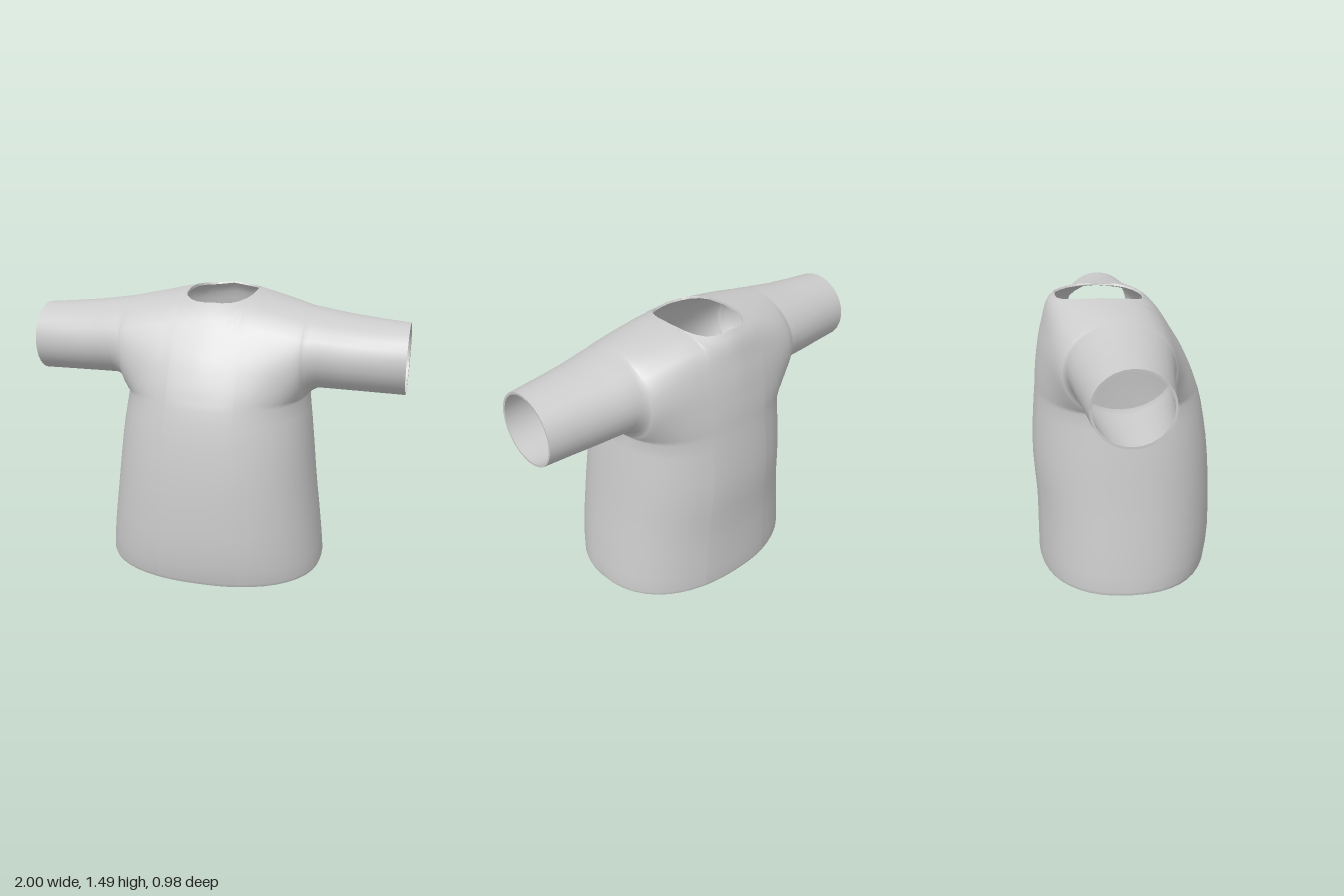
import * as THREE from 'three';
import { mergeVertices, mergeGeometries } from 'three/addons/utils/BufferGeometryUtils.js';

const THICKNESS = 0.012;
const lerp = THREE.MathUtils.lerp;

// Torso rings: y, half width, front z, back z, z of the side seam
const TORSO = [
  [0, 0.597, 0.457, -0.464, 0], [0.02, 0.602, 0.466, -0.47, 0], [0.1, 0.595, 0.48, -0.47, 0],
  [0.2, 0.584, 0.488, -0.47, 0], [0.3, 0.572, 0.488, -0.47, 0], [0.4, 0.559, 0.486, -0.473, 0],
  [0.5, 0.547, 0.482, -0.481, 0], [0.6, 0.536, 0.475, -0.487, -0.005], [0.7, 0.525, 0.465, -0.487, -0.01],
  [0.8, 0.513, 0.45, -0.481, -0.02], [0.89, 0.5, 0.434, -0.474, -0.035], [0.965, 0.49, 0.415, -0.467, -0.05],
];
// Sleeve loops: x, centre z, radius z, centre y, radius y
const SLEEVE = [
  [0.49, -0.05, 0.275, 1.2, 0.235], [0.515, -0.05, 0.268, 1.21, 0.22], [0.55, -0.05, 0.26, 1.218, 0.207],
  [0.62, -0.05, 0.249, 1.212, 0.202], [0.7, -0.05, 0.237, 1.205, 0.197], [0.85, -0.047, 0.215, 1.196, 0.191],
  [1, -0.045, 0.195, 1.188, 0.186],
];
// Centre line over the shoulders, from front chest to back (y, z)
const ARCH = new THREE.CatmullRomCurve3([
  [0.965, 0.415], [1.1, 0.365], [1.25, 0.285], [1.455, 0.13], [1.505, -0.1],
  [1.485, -0.35], [1.32, -0.422], [1.13, -0.455], [0.965, -0.467],
].map(([y, z]) => new THREE.Vector3(0, y, z)), false, 'catmullrom');

// Columns across the body (-1..1), dense around the neck opening
const NECK = 0.37;
const half = [];
for (let k = 1; k <= 6; k++) half.push(NECK * Math.sin(k / 6 * Math.PI / 2));
for (let k = 1; k <= 9; k++) half.push(Math.sin(lerp(Math.asin(NECK), Math.PI / 2, k / 9)));
half[half.length - 1] = 1;
const COLUMNS = [...half.map(c => -c).reverse(), 0, ...half];
const ROWS = 14;

const roundness = (c, n) => Math.pow(Math.max(0, 1 - Math.pow(Math.abs(c), n)), 1 / n);

function sleevePoint([x, zc, rz, yc, ry], s) {
  const a = 2 * Math.PI * s;
  return [x, yc - ry * Math.cos(a), zc + rz * Math.sin(a)];
}

// Shoulder surface: blends the centre line into the closed sleeve loop
function yokePoint(c, s) {
  const top = Math.sin(Math.PI * s) ** 2;
  const w = lerp(1 - roundness(c, 2.3), Math.abs(c) ** 1.3, top);
  const p = ARCH.getPoint(s);
  const q = sleevePoint(SLEEVE[0], s);
  return [0.49 * c, lerp(p.y, q[1], w), lerp(p.z, q[2], w)];
}

// Position along the shoulder line where the neck opening begins
function neckEdge(c, side) {
  if (Math.abs(c) > NECK + 1e-6) return 0.5;
  const target = -0.115 + side * 0.235 * roundness(c / NECK, 2.8);
  let lo = 0.2, hi = 0.8;
  for (let i = 0; i < 30; i++) {
    const mid = (lo + hi) / 2;
    if (yokePoint(c, mid)[2] > target) lo = mid; else hi = mid;
  }
  return lo;
}

function patch(columns, rows, point, flip) {
  const pos = [], index = [];
  for (let i = 0; i < columns; i++) for (let r = 0; r < rows; r++) pos.push(...point(i, r));
  for (let i = 0; i < columns - 1; i++) for (let r = 0; r < rows - 1; r++) {
    const a = i * rows + r, b = a + rows;
    index.push(...(flip ? [a, b + 1, b, a, a + 1, b + 1] : [a, b, b + 1, a, b + 1, a + 1]));
  }
  const g = new THREE.BufferGeometry();
  g.setAttribute('position', new THREE.Float32BufferAttribute(pos, 3));
  g.setIndex(index);
  return g;
}

function outerSurface() {
  const parts = [];
  const n = COLUMNS.length;
  for (const side of [1, -1]) {
    // Torso front or back
    parts.push(patch(n, TORSO.length, (i, r) => {
      const [y, w, front, back, zc] = TORSO[r], c = COLUMNS[i];
      return [w * c, y, lerp(zc, side > 0 ? front : back, roundness(c, 2.3))];
    }, side < 0));
    // Chest or upper back, up to the neck opening
    const edges = COLUMNS.map(c => neckEdge(c, side));
    parts.push(patch(n, ROWS + 1, (i, r) => {
      const v = r / ROWS;
      return yokePoint(COLUMNS[i], side > 0 ? v * edges[i] : 1 - v * (1 - edges[i]));
    }, side < 0));
    // Left or right sleeve
    parts.push(patch(SLEEVE.length, 2 * ROWS + 1, (i, r) => {
      const [x, y, z] = sleevePoint(SLEEVE[i], r / (2 * ROWS));
      return [side * x, y, z];
    }, side < 0));
  }
  const g = mergeVertices(mergeGeometries(parts), 1e-4);
  g.computeVertexNormals();
  return g;
}

// Same cloth moved inward and turned inside out
function innerSurface(outer) {
  const g = outer.clone();
  const p = g.attributes.position, nrm = outer.attributes.normal;
  for (let i = 0; i < p.count; i++) {
    p.setXYZ(i, p.getX(i) - THICKNESS * nrm.getX(i), Math.max(0, p.getY(i) - THICKNESS * nrm.getY(i)),
      p.getZ(i) - THICKNESS * nrm.getZ(i));
  }
  g.setIndex(Array.from(outer.index.array).reverse());
  g.computeVertexNormals();
  return g;
}

// Narrow strips closing every open edge between the two surfaces
function hemStrips(outer, inner) {
  const idx = outer.index.array, edges = new Map(), pos = [];
  for (let t = 0; t < idx.length; t += 3) for (let k = 0; k < 3; k++) {
    const a = idx[t + k], b = idx[t + (k + 1) % 3];
    if (a === b) continue;
    if (!edges.delete(b + '_' + a)) edges.set(a + '_' + b, [a, b]);
  }
  const at = (g, i) => new THREE.Vector3().fromBufferAttribute(g.attributes.position, i).toArray();
  for (const [a, b] of edges.values()) {
    const A = at(outer, a), B = at(outer, b), C = at(inner, b), D = at(inner, a);
    pos.push(...B, ...A, ...D, ...B, ...D, ...C);
  }
  const g = new THREE.BufferGeometry();
  g.setAttribute('position', new THREE.Float32BufferAttribute(pos, 3));
  g.computeVertexNormals();
  return g;
}

export function createModel() {
  const group = new THREE.Group();
  group.name = 'shirt';
  const material = new THREE.MeshStandardMaterial({ color: 0xcccccc, side: THREE.DoubleSide });
  const outer = outerSurface();
  const inner = innerSurface(outer);
  const add = (name, geometry) => {
    const mesh = new THREE.Mesh(geometry, material);
    mesh.name = name;
    group.add(mesh);
  };
  add('outerCloth', outer);
  add('innerCloth', inner);
  add('hems', hemStrips(outer, inner));
  return group;
}
